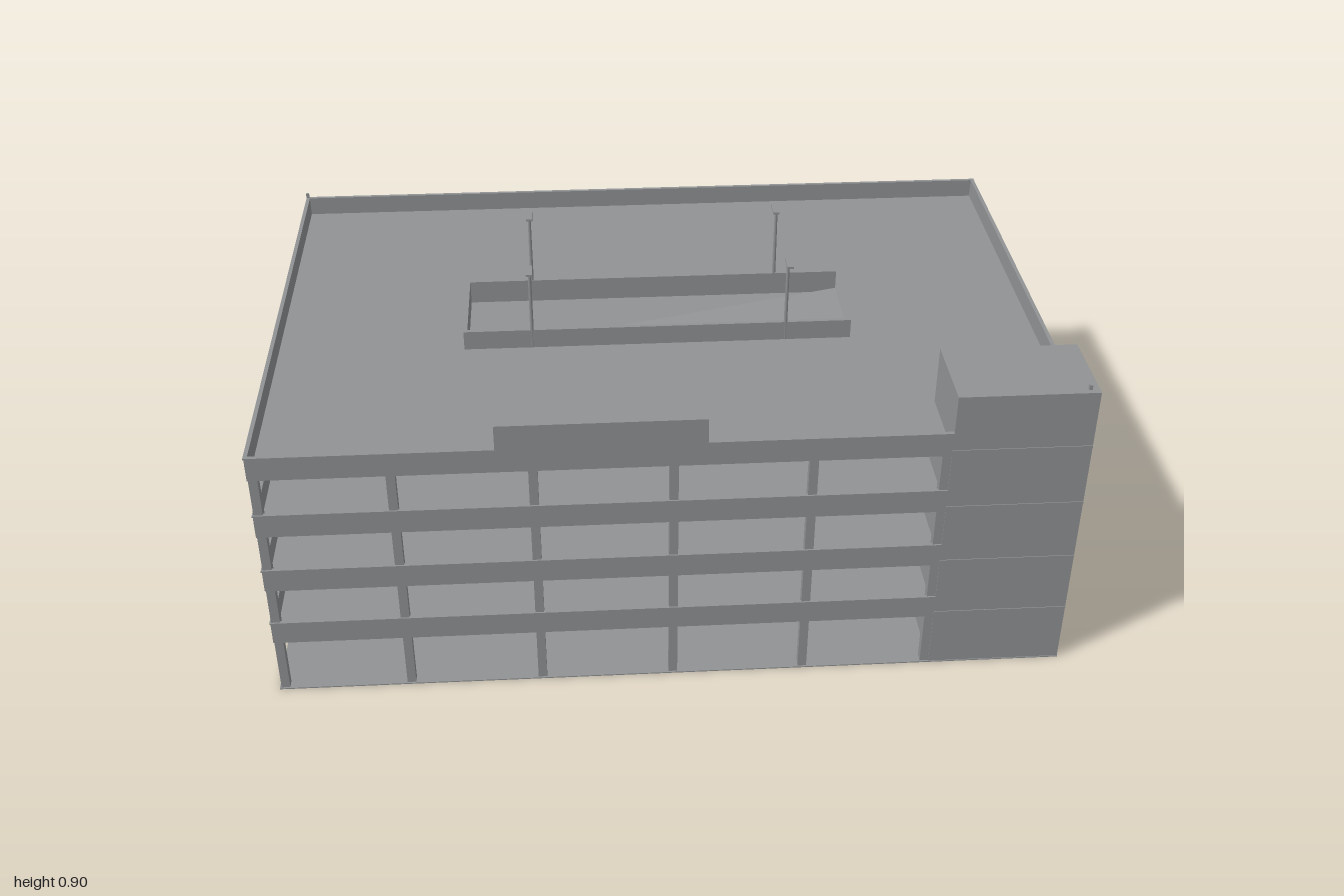
import * as THREE from 'three';

const W = 1, D = 0.667;           // half width and half depth
const STOREY = 0.1667, SLAB = 0.011;
const RX = 0.5, RZ = 0.125;       // half size of the ramp well
const TX = 0.662, TZ = 0.45;      // inner corner of the stair tower

export function createModel() {
  const concrete = new THREE.MeshStandardMaterial({ color: 0x909294 });
  concrete.name = 'concrete grey';
  const model = new THREE.Group();
  model.name = 'parkingGarage';

  // box given by its minimum and maximum corners
  function box(name, x0, x1, y0, y1, z0, z1, parent = model) {
    const m = new THREE.Mesh(new THREE.BoxGeometry(x1 - x0, y1 - y0, z1 - z0), concrete);
    m.position.set((x0 + x1) / 2, (y0 + y1) / 2, (z0 + z1) / 2);
    m.name = name;
    parent.add(m);
    return m;
  }

  box('groundSlab', -W, W, 0, 0.003, -D, D);

  // deck with a rectangular ramp well
  const deck = new THREE.Shape([[-W + 0.005, -D + 0.005], [W - 0.005, -D + 0.005], [W - 0.005, D - 0.005], [-W + 0.005, D - 0.005]]
    .map(p => new THREE.Vector2(...p)));
  deck.holes.push(new THREE.Path([[-RX, -RZ], [-RX, RZ], [RX, RZ], [RX, -RZ]]
    .map(p => new THREE.Vector2(...p))));
  const deckGeo = new THREE.ExtrudeGeometry(deck, { depth: SLAB, bevelEnabled: false });
  deckGeo.rotateX(-Math.PI / 2);

  // sloping ramp from one storey to the next
  const ramp = new THREE.Shape([[-RX, 0], [RX, STOREY - SLAB], [RX, STOREY], [-RX + 0.065, SLAB * 0.98], [-RX, 0.002]]
    .map(p => new THREE.Vector2(...p)));
  const rampGeo = new THREE.ExtrudeGeometry(ramp, { depth: 2 * RZ, bevelEnabled: false });
  rampGeo.translate(0, 0, -RZ);

  for (let i = 1; i <= 4; i++) {
    const y = i * STOREY, lo = y - 0.013, hi = y + 0.048, cap = y + 0.052;
    const level = new THREE.Group();
    level.name = 'level' + i;
    model.add(level);

    const floor = new THREE.Mesh(deckGeo, concrete);
    floor.name = 'deck';
    floor.position.y = y - SLAB;
    level.add(floor);

    const slope = new THREE.Mesh(rampGeo, concrete);
    slope.name = 'ramp';
    slope.position.y = y - STOREY;
    level.add(slope);

    // outer parapets with slim cap rails
    const t = 0.01, e = 0.002;
    for (const [name, a, b, g] of [['parapet', lo, hi, e], ['capRail', hi, cap, 0]]) {
      box(name + 'Front', -W + g, TX, a, b, D - t, D - g, level);
      box(name + 'Back', -W + g, W - g, a, b, -D + g, -D + t, level);
      box(name + 'Right', -W + g, -W + t, a, b, -D + t, D - t, level);
      box(name + 'Left', W - t, W - g, a, b, -D + t, TZ, level);
    }
    // guard walls round the ramp well, open at the exit
    for (const s of [-1, 1]) {
      const z = s * (RZ + 0.005);
      box('rampGuard', -RX - 0.01, RX, y, cap, z - 0.005, z + 0.005, level);
    }
    box('rampGuardEnd', -RX - 0.01, -RX, y, cap, -RZ, RZ, level);
  }

  // perimeter columns
  const top = 4 * STOREY - 0.005, c = 0.011;
  const column = (x, z) => box('column', x - c, x + c, 0, top, z - c, z + c);
  for (let i = 0; i <= 6; i++) {
    const x = THREE.MathUtils.clamp((i - 3) / 3, -W + 0.015, W - 0.015);
    column(x, -D + 0.015);
    if (i < 5) column(x, D - 0.015);
  }
  column(TX - c, D - 0.015);
  column(-W + 0.015, 0);
  column(W - 0.015, 0);

  // stair tower: core, frame and glazing bars on the outer side
  const tower = new THREE.Group();
  tower.name = 'stairTower';
  model.add(tower);
  const H = 0.82, g = 0.01;
  box('towerCore', TX, W - g, 0, H, TZ, D - 0.002, tower);
  box('frameBottom', W - g, W, 0, 0.02, TZ, D - 0.002, tower);
  box('frameTop', W - g, W, 0.79, H, TZ, D - 0.002, tower);
  box('frameBack', W - g, W, 0.02, 0.79, TZ, TZ + 0.016, tower);
  box('frameFront', W - g, W, 0.02, 0.79, D - 0.015, D - 0.002, tower);
  for (const z of [0.529, 0.592]) box('mullion', W - g, W - 0.001, 0.02, 0.79, z - 0.003, z + 0.003, tower);
  for (let i = 1; i <= 4; i++) {
    const y = i * STOREY;
    box('transom', W - g, W - 0.002, y - 0.004, y + 0.004, TZ + 0.016, D - 0.015, tower);
    box('floorBand', TX, W, y - 0.003, y + 0.003, D - 0.002, D, tower);
  }

  // raised panel above the entrance
  box('entrancePanel', -0.42, 0.08, 0.67, 0.785, D - 0.009, D);

  // lamp posts beside the ramp well
  for (const x of [-0.333, 0.328]) for (const s of [-1, 1]) {
    const lamp = new THREE.Group();
    lamp.name = 'lampPost';
    model.add(lamp);
    const pole = new THREE.Mesh(new THREE.CylinderGeometry(0.004, 0.005, 0.235, 8), concrete);
    pole.name = 'pole';
    pole.position.set(x, 0.7825, s * 0.131);
    lamp.add(pole);
    const arm = box('lampHead', x - 0.008, x + 0.008, 0.899, 0.905, -0.025, 0.025, lamp);
    arm.position.z = s * 0.15;
  }

  // small corner markers
  box('cornerPost', -W, -W + 0.008, 0.715, 0.732, -D, -D + 0.008);
  box('towerPost', 0.974, 0.982, H, H + 0.012, 0.643, 0.651);

  return model;
}
